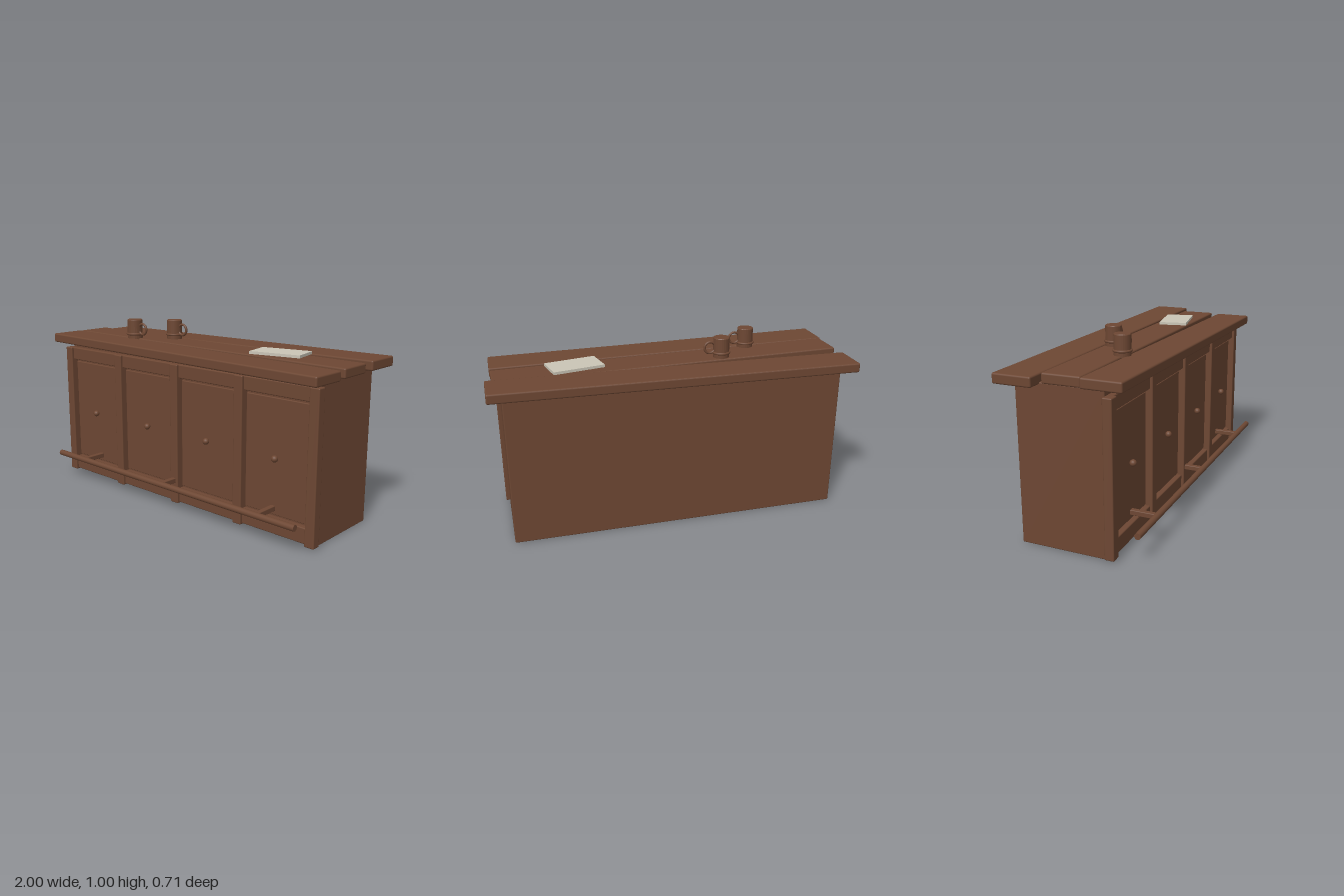
import * as THREE from 'three';
import { RoundedBoxGeometry } from 'three/addons/geometries/RoundedBoxGeometry.js';

const wood = new THREE.MeshStandardMaterial({ color: 0x6d4733 });
wood.name = 'brownWood';
const paper = new THREE.MeshStandardMaterial({ color: 0xcac5b6 });
paper.name = 'palePaper';

export function createModel() {
  const model = new THREE.Group();
  model.name = 'barCounter';

  const add = (name, geometry, x, y, z, material = wood, parent = model) => {
    const mesh = new THREE.Mesh(geometry, material);
    mesh.name = name;
    mesh.position.set(x, y, z);
    parent.add(mesh);
    return mesh;
  };
  const block = (w, h, d, r = 0.006) => new RoundedBoxGeometry(w, h, d, 2, r);

  // Cabinet
  add('cabinetBody', block(1.85, 0.84, 0.47), 0, 0.42, -0.045);

  // Front posts
  for (let i = -2; i <= 2; i++) {
    add('frontPost', block(0.056, 0.8, 0.05), i * 0.459, 0.41, 0.21);
  }

  // Panels between the posts, each with two rails and a knob
  for (let i = 0; i < 4; i++) {
    const x = (i - 1.5) * 0.459;
    add('panel', block(0.40, 0.61, 0.016, 0.004), x, 0.415, 0.19);
    add('topRail', block(0.43, 0.075, 0.04), x, 0.772, 0.2);
    add('bottomRail', block(0.43, 0.085, 0.04), x, 0.058, 0.2);
    add('knob', new THREE.SphereGeometry(0.018, 16, 12), x, 0.415, 0.219);
  }

  // Foot rail on brackets
  const rail = add('footRail', new THREE.CylinderGeometry(0.017, 0.017, 1.81, 16), 0, 0.145, 0.338);
  rail.rotation.z = Math.PI / 2;
  for (const x of [-0.67, 0, 0.67]) {
    add('footRailBracket', block(0.028, 0.028, 0.15, 0.004), x, 0.145, 0.262);
  }

  // Uneven top planks: length, depth, centre x y z, turn, tilt
  const planks = [
    ['backPlank', 2.0, 0.21, 0, 0.863, -0.25, 0, 0.008],
    ['middlePlank', 1.93, 0.2, 0, 0.864, -0.029, 0.02, -0.009],
    ['frontPlank', 1.945, 0.21, -0.002, 0.862, 0.196, 0, -0.0105],
  ];
  for (const [name, w, d, x, y, z, turn, tilt] of planks) {
    add(name, block(w, 0.053, d, 0.009), x, y, z).rotation.set(0, turn, tilt);
  }

  // Mugs with a foot ring and a handle
  const profile = [[0, 0], [0.045, 0], [0.045, 0.112], [0.042, 0.116], [0, 0.116]]
    .map(([r, y]) => new THREE.Vector2(r, y));
  const mugGeometry = new THREE.LatheGeometry(profile, 24).toNonIndexed();
  mugGeometry.computeVertexNormals();
  for (const [x, z] of [[-0.481, 0.068], [-0.289, -0.074]]) {
    const mug = new THREE.Group();
    mug.name = 'mug';
    mug.position.set(x, 0.889, z);
    model.add(mug);
    add('mugBody', mugGeometry, 0, 0, 0, wood, mug);
    const ring = add('mugRing', new THREE.TorusGeometry(0.045, 0.007, 8, 28), 0, 0.03, 0, wood, mug);
    ring.rotation.x = Math.PI / 2;
    add('mugHandle', new THREE.TorusGeometry(0.031, 0.007, 8, 24), 0.066, 0.06, 0, wood, mug);
  }

  // Paper pad
  const pad = add('paperPad', new THREE.BoxGeometry(0.284, 0.015, 0.163), 0.524, 0.9, -0.035, paper);
  pad.rotation.y = 0.205;

  return model;
}
